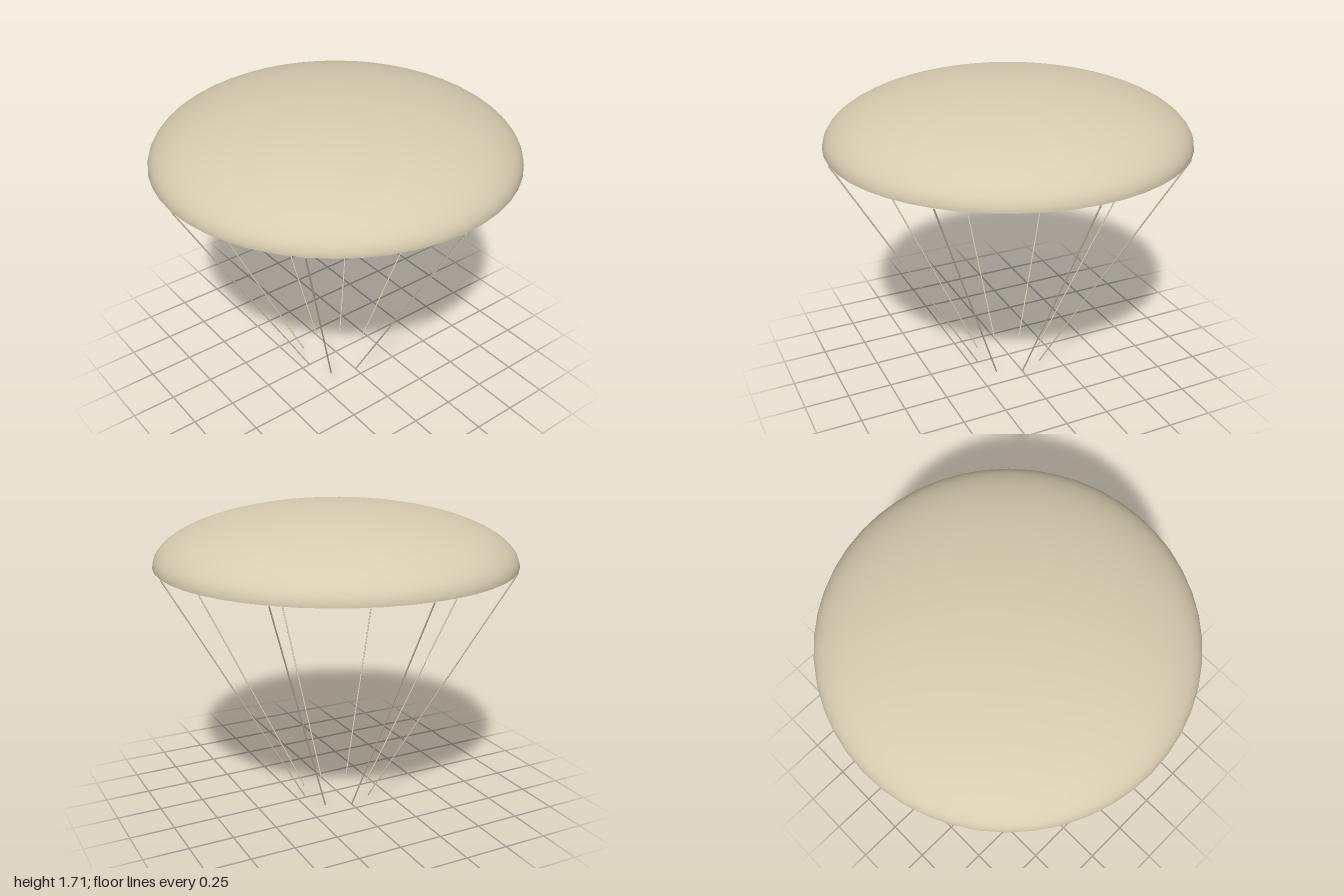
import * as THREE from 'three';

const RIM_RADIUS = 0.995, RIM_Y = 1.4, DOME_HEIGHT = 0.315;
const FOOT_RADIUS = 0.2, CORD_RADIUS = 0.004, CORD_COUNT = 8;

// Straight thin cord between two points
function cordBetween(a, b, material) {
  const direction = b.clone().sub(a);
  const mesh = new THREE.Mesh(
    new THREE.CylinderGeometry(CORD_RADIUS, CORD_RADIUS, direction.length(), 6), material);
  mesh.position.copy(a).add(b).multiplyScalar(0.5);
  mesh.quaternion.setFromUnitVectors(new THREE.Vector3(0, 1, 0), direction.normalize());
  return mesh;
}

export function createModel() {
  const model = new THREE.Group();
  model.name = 'parachute';
  const fabric = new THREE.MeshStandardMaterial({ color: 0xd8ccb0, side: THREE.DoubleSide });
  fabric.name = 'beige fabric';

  // Open canopy: a flattened upper hemisphere
  const dome = new THREE.SphereGeometry(1, 48, 20, 0, Math.PI * 2, 0, Math.PI / 2);
  dome.scale(RIM_RADIUS, DOME_HEIGHT, RIM_RADIUS);
  const canopy = new THREE.Mesh(dome, fabric);
  canopy.name = 'canopy';
  canopy.position.y = RIM_Y;
  model.add(canopy);

  // Suspension cords converging from the rim towards the bottom
  const cords = new THREE.Group();
  cords.name = 'suspensionCords';
  for (let i = 0; i < CORD_COUNT; i++) {
    const angle = (i / CORD_COUNT) * Math.PI * 2;
    const ring = (r, y) => new THREE.Vector3(Math.cos(angle) * r, y, Math.sin(angle) * r);
    const cord = cordBetween(ring(FOOT_RADIUS, 0.002), ring(RIM_RADIUS, RIM_Y), fabric);
    cord.name = `cord${i + 1}`;
    cords.add(cord);
  }
  model.add(cords);
  return model;
}
